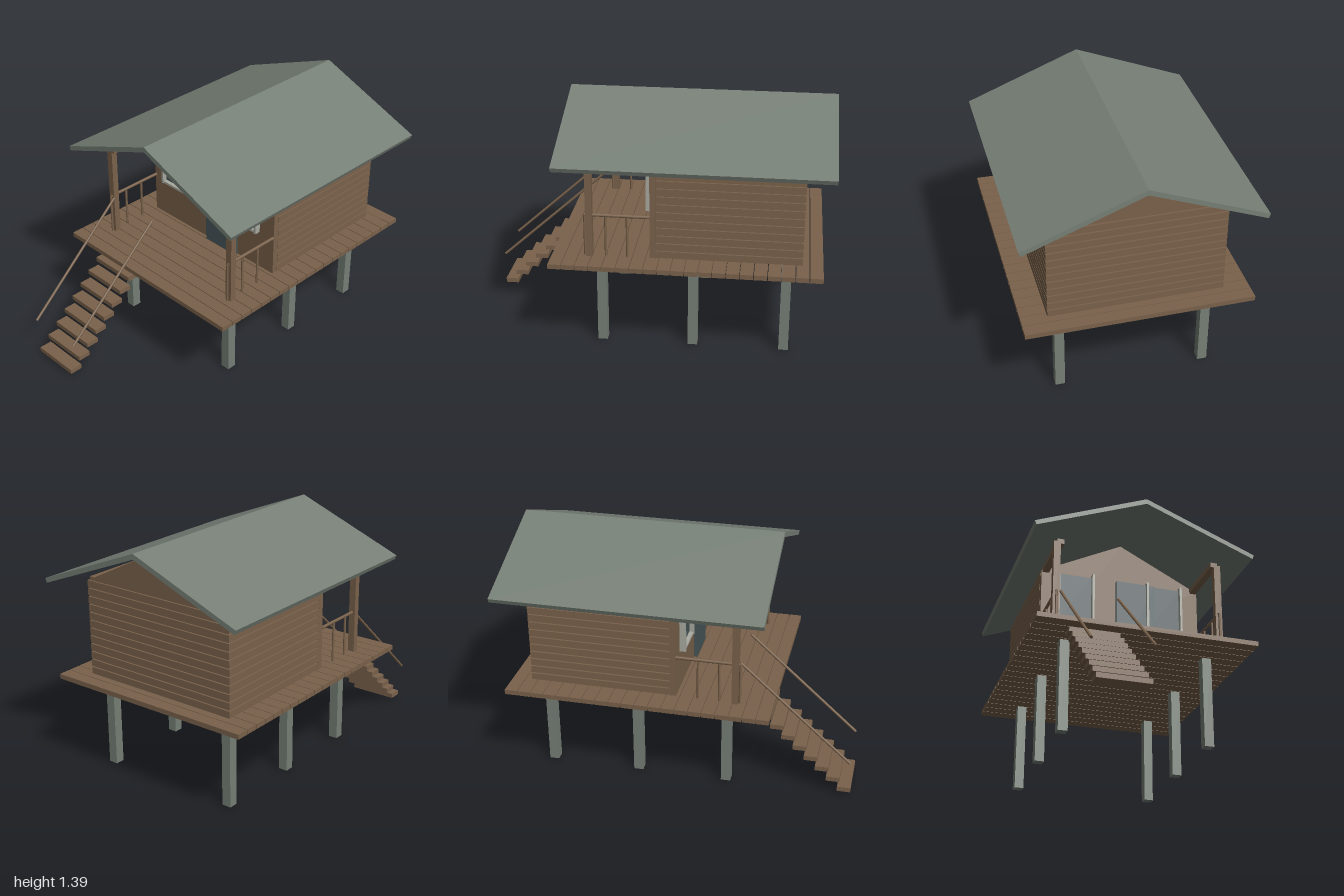
import * as THREE from 'three';

export function createModel() {
  const model = new THREE.Group();
  model.name = 'stiltCabin';

  const material = (name, color) => {
    const m = new THREE.MeshStandardMaterial({ color });
    m.name = name;
    return m;
  };
  const wood = material('brown wood', 0x7a624b);
  const grey = material('grey green', 0x767f76);
  const glass = material('dark blue grey', 0x475659);
  const trim = material('pale trim', 0xa9aaa0);

  const add = (name, geometry, mat) => {
    const mesh = new THREE.Mesh(geometry, mat);
    mesh.name = name;
    model.add(mesh);
    return mesh;
  };
  // Box given by its limits on each axis
  const box = (name, mat, x0, x1, y0, y1, z0, z1) => {
    const mesh = add(name, new THREE.BoxGeometry(x1 - x0, y1 - y0, z1 - z0), mat);
    mesh.position.set((x0 + x1) / 2, (y0 + y1) / 2, (z0 + z1) / 2);
    return mesh;
  };
  // Outline in x and y, extruded along z
  const prism = (name, mat, points, z0, z1) => {
    const shape = new THREE.Shape(points.map(([x, y]) => new THREE.Vector2(x, y)));
    const mesh = add(name, new THREE.ExtrudeGeometry(shape, { depth: z1 - z0, bevelEnabled: false }), mat);
    mesh.position.z = z0;
    return mesh;
  };
  // Round bar between two points
  const bar = (name, mat, a, b, radius) => {
    const from = new THREE.Vector3(...a), to = new THREE.Vector3(...b);
    const dir = to.clone().sub(from);
    const mesh = add(name, new THREE.CylinderGeometry(radius, radius, dir.length(), 10), mat);
    mesh.position.copy(from).add(to).multiplyScalar(0.5);
    mesh.quaternion.setFromUnitVectors(new THREE.Vector3(0, 1, 0), dir.normalize());
    return mesh;
  };

  // Stilts
  for (const x of [-0.418, 0.418])
    for (const z of [0.28, -0.24, -0.76])
      box('stilt', grey, x - 0.0275, x + 0.0275, 0, 0.532, z - 0.0275, z + 0.0275);

  // Deck planks
  const plank = 1.51 / 20;
  for (let i = 0; i < 20; i++) {
    const z = -0.96 + i * plank;
    box('deckPlank', wood, -0.635, 0.635, 0.532, 0.56, z + 0.002, z + plank - 0.002);
  }

  // Cabin body with gables, and a wider front wall
  prism('cabinBody', wood, [
    [-0.48, 0.56], [0.48, 0.56], [0.48, 1.12], [0, 1.362], [-0.48, 1.12],
  ], -0.835, -0.001);
  box('frontWall', wood, -0.49, 0.49, 0.56, 1.12, -0.035, 0);

  // Siding boards on the sides and back
  const rows = 12, pitch = 0.56 / rows;
  for (let i = 0; i < rows; i++) {
    const y0 = 0.56 + i * pitch + 0.003, y1 = y0 + pitch - 0.007;
    for (const s of [-1, 1]) {
      const x = s * 0.485;
      box('sideBoard', wood, x - 0.006, x + 0.006, y0, y1, -0.845, -0.036);
    }
    box('backBoard', wood, -0.479, 0.479, y0, y1, -0.845, -0.834);
  }

  // Roof
  prism('roof', grey, [
    [0, 1.395], [-0.655, 1.135], [-0.645, 1.11], [0, 1.364], [0.645, 1.11], [0.655, 1.135],
  ], -1, 0.51);

  // Door
  box('door', glass, -0.03, 0.21, 0.56, 1.106, 0, 0.02);

  // Windows
  for (const x of [-0.284, 0.269]) {
    box('windowPane', glass, x - 0.1, x + 0.1, 0.805, 1.106, 0, 0.008);
    for (const s of [-1, 1]) {
      const fx = x + s * 0.106;
      box('windowJamb', trim, fx - 0.007, fx + 0.007, 0.795, 1.12, 0, 0.036);
    }
    box('windowSill', trim, x - 0.106, x + 0.106, 0.796, 0.81, 0, 0.032);
  }

  for (const s of [-1, 1]) {
    // Porch posts and the beams above them
    const x = s * 0.485;
    box('porchPost', wood, x - 0.02, x + 0.02, 0.56, 1.12, 0.318, 0.355);
    box('eaveBeam', wood, s * 0.465 - 0.02, s * 0.465 + 0.02, 1.105, 1.135, -0.83, 0.355);

    // Porch railing
    bar('porchRail', wood, [x, 0.803, 0.36], [x, 0.803, 0], 0.009);
    for (const z of [0.362, 0.245, 0.125])
      bar('baluster', wood, [x, 0.56, z], [x, 0.803, z], 0.007);
  }

  // Stair treads
  for (let i = 0; i < 9; i++) {
    const y = 0.02 + i * 0.0608, z = 1 - i * 0.0659;
    box('stairTread', wood, -0.437, -0.148, y, y + 0.028, z - 0.077, z);
  }

  // Stair handrails
  for (const x of [-0.46, -0.125])
    bar('stairRail', wood, [x, 0.8, 0.358], [x, 0.233, 0.988], 0.008);

  return model;
}
